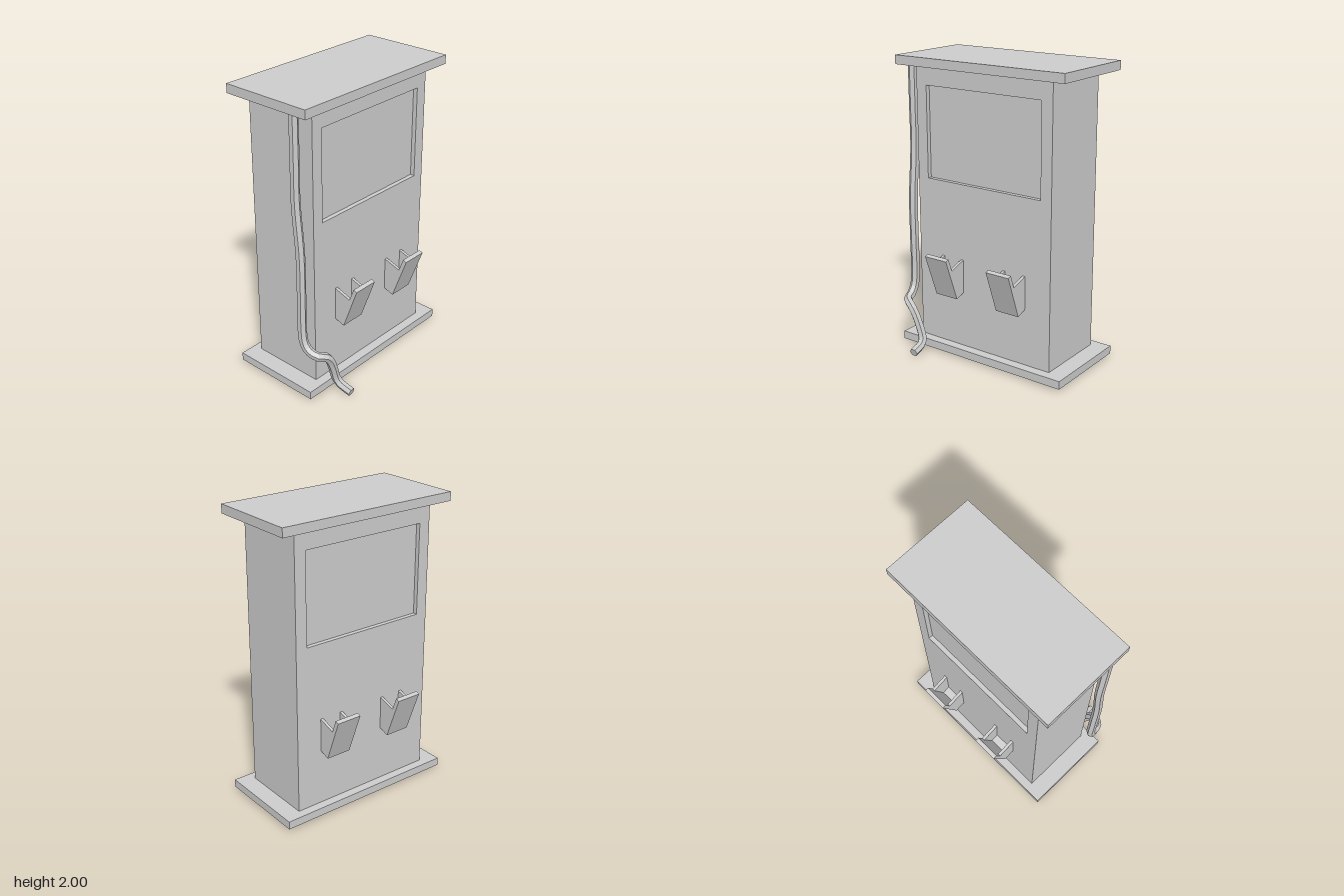
import * as THREE from 'three';

const CX = -0.0275; // centre line of the cabinet
const mat = new THREE.MeshStandardMaterial({ color: 0xcccccc, flatShading: true, side: THREE.DoubleSide });

function mesh(name, geometry, x = 0, y = 0, z = 0) {
  const m = new THREE.Mesh(geometry, mat);
  m.name = name;
  m.position.set(x, y, z);
  return m;
}

function polygon(points) {
  return new THREE.Shape(points.map(([x, y]) => new THREE.Vector2(x, y)));
}

function rect(x0, y0, x1, y1) {
  return polygon([[x0, y0], [x1, y0], [x1, y1], [x0, y1]]);
}

function extrude(shape, depth) {
  return new THREE.ExtrudeGeometry(shape, { depth, bevelEnabled: false });
}

// Side skin with a window opening; its outer face lies at x = 0
function sidePanel(depth) {
  const shape = rect(-0.525, 0.07, 0.525, 1.94);
  shape.holes.push(rect(-0.445, 1.2, 0.445, 1.815));
  return extrude(shape, depth).rotateY(-Math.PI / 2);
}

// Tilted open-topped holder: two cheeks, a floor and a tall outer plate
function makeHolder() {
  const holder = new THREE.Group();
  holder.name = 'holder';
  const w = 0.175, t = 0.02;
  const cheek = polygon([[0.2575, 0.683], [0.3785, 0.644], [0.302, 0.44], [0.2575, 0.455]]);
  const plate = polygon([[0.302, 0.44], [0.329, 0.43], [0.437, 0.725], [0.411, 0.735]]);
  const floor = polygon([[0.2575, 0.455], [0.302, 0.44], [0.309, 0.459], [0.2575, 0.476]]);
  holder.add(
    mesh('holderCheek', extrude(cheek, t), 0, 0, -w / 2),
    mesh('holderCheek', extrude(cheek, t), 0, 0, w / 2 - t),
    mesh('holderFloor', extrude(floor, w - 2 * t), 0, 0, -w / 2 + t),
    mesh('holderPlate', extrude(plate, w), 0, 0, -w / 2)
  );
  return holder;
}

// Six-sided hose down the front, swept in a turned frame so its flats face front and back
function makeHose() {
  const hose = new THREE.Group();
  hose.name = 'hose';
  const path = [
    [0.17, 1.95, 0.61], [0.17, 1.65, 0.61], [0.17, 1.38, 0.61], [0.198, 1.03, 0.61],
    [0.2, 0.75, 0.61], [0.2, 0.48, 0.61], [0.214, 0.4, 0.61], [0.25, 0.352, 0.605],
    [0.305, 0.328, 0.59], [0.336, 0.31, 0.54], [0.338, 0.27, 0.508], [0.335, 0.2, 0.477],
    [0.335, 0.09, 0.443], [0.362, 0.052, 0.432], [0.45, 0.025, 0.425]
  ].map(([x, y, z]) => new THREE.Vector3(-z, y, x));
  const segments = 72, sides = 6;
  const tube = new THREE.TubeGeometry(new THREE.CatmullRomCurve3(path), segments, 0.03, sides);
  tube.rotateY(Math.PI / 2);
  hose.add(mesh('hoseTube', tube));

  // Flat caps taken from the first and last rings
  for (const ring of [0, segments]) {
    const points = [];
    for (let i = 0; i < sides; i++) {
      points.push(new THREE.Vector3().fromBufferAttribute(tube.attributes.position, ring * (sides + 1) + i));
    }
    const cap = new THREE.BufferGeometry().setFromPoints(points);
    const index = [];
    for (let i = 1; i < sides - 1; i++) {
      if (ring) index.push(0, i, i + 1);
      else index.push(0, i + 1, i);
    }
    cap.setIndex(index);
    cap.computeVertexNormals();
    hose.add(mesh('hoseEnd', cap));
  }
  return hose;
}

export function createModel() {
  const model = new THREE.Group();
  model.name = 'dispenser';

  // Base and roof slabs
  model.add(mesh('base', new THREE.BoxGeometry(0.64, 0.055, 1.29), -0.025, 0.0425, 0));
  model.add(mesh('roof', new THREE.BoxGeometry(0.64, 0.06, 1.29), -0.025, 1.97, 0));

  // Cabinet core, with a windowed skin on each long side
  const depth = 0.03, half = 0.2575;
  model.add(mesh('cabinet', new THREE.BoxGeometry(2 * (half - depth), 1.87, 1.05), CX, 1.005, 0));
  model.add(mesh('leftPanel', sidePanel(depth), CX + half, 0, 0));
  model.add(mesh('rightPanel', sidePanel(depth), CX - half + depth, 0, 0));

  // Two holders on each long side
  for (const [side, offset] of [[1, 0], [-1, -0.01]]) {
    for (const z of [-0.2475, 0.2475]) {
      const holder = makeHolder();
      holder.position.set(CX, 0, z + offset);
      if (side < 0) holder.rotation.y = Math.PI;
      model.add(holder);
    }
  }

  model.add(makeHose());
  return model;
}
